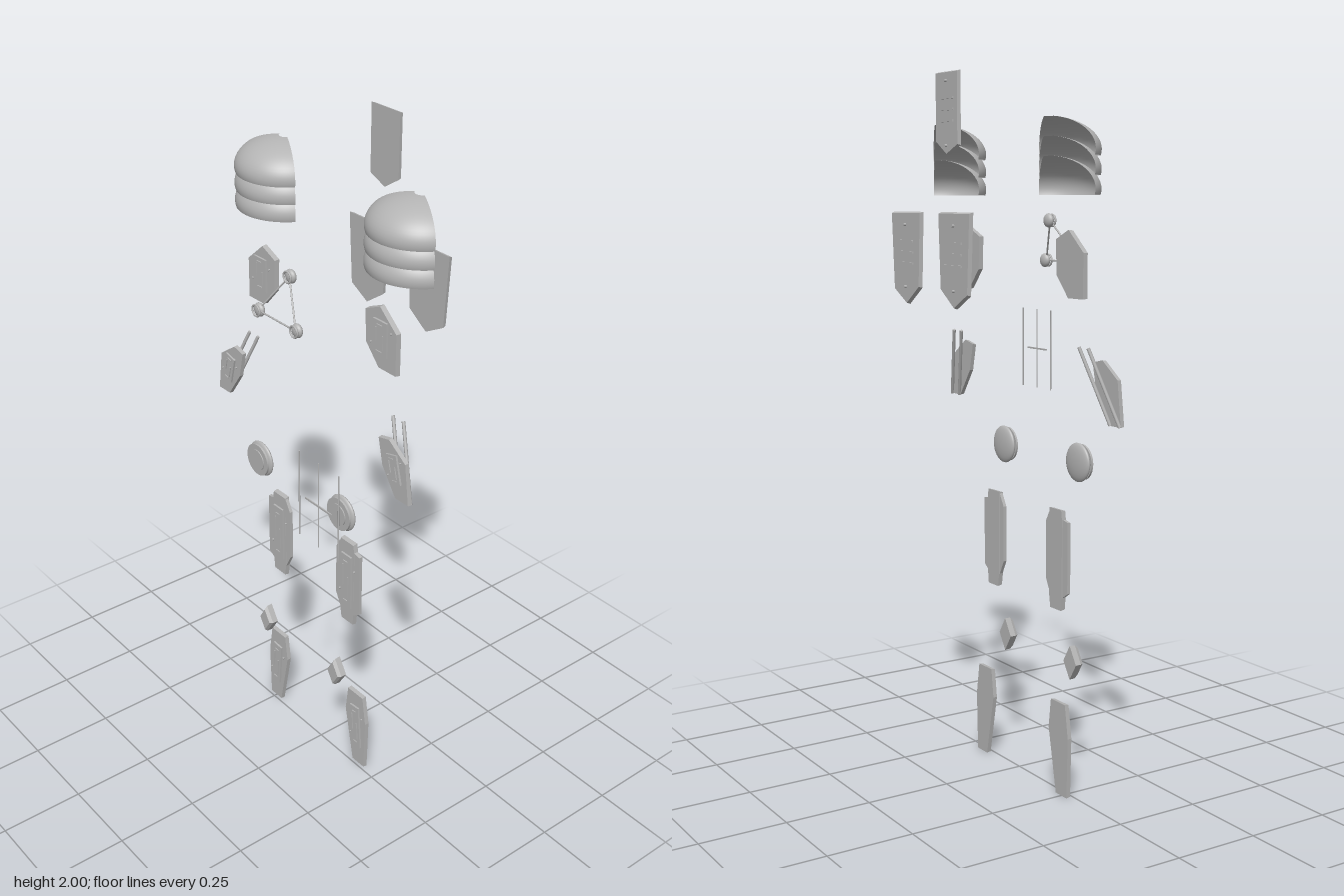
import * as THREE from 'three';

const AXIS = -0.038; // mirror line of the paired armour parts

export function createModel() {
  const root = new THREE.Group();
  const grey = new THREE.MeshStandardMaterial({ color: 0xb4b4b4, side: THREE.DoubleSide });
  grey.name = 'grey metal';

  const add = (parent, name, geo, x = 0, y = 0, z = 0) => {
    const m = new THREE.Mesh(geo, grey);
    m.name = name;
    m.position.set(x, y, z);
    parent.add(m);
    return m;
  };
  const group = (name) => {
    const g = new THREE.Group();
    g.name = name;
    root.add(g);
    return g;
  };
  const box = (p, name, x, y, z, w, h, d) => add(p, name, new THREE.BoxGeometry(w, h, d), x, y, z);

  // Flat disc facing the front
  const disc = (p, name, x, y, z, r, d, sides = 32) =>
    add(p, name, new THREE.CylinderGeometry(r, r, d, sides).rotateX(Math.PI / 2), x, y, z);

  // Bevelled plate from z0 to z1: the far face is shrunk by k about the middle
  const plate = (p, name, pts, z0, z1, k) => {
    const xs = pts.map((a) => a[0]), ys = pts.map((a) => a[1]);
    const cx = (Math.min(...xs) + Math.max(...xs)) / 2;
    const cy = (Math.min(...ys) + Math.max(...ys)) / 2;
    const shape = new THREE.Shape(pts.map(([x, y]) => new THREE.Vector2(x - cx, y - cy)));
    const d = Math.abs(z1 - z0);
    const geo = new THREE.ExtrudeGeometry(shape, { depth: d, bevelEnabled: false });
    const pos = geo.attributes.position;
    for (let i = 0; i < pos.count; i++) {
      const far = z1 < z0 ? pos.getZ(i) < d / 2 : pos.getZ(i) > d / 2;
      if (far) pos.setXY(i, pos.getX(i) * k, pos.getY(i) * k);
    }
    geo.computeVertexNormals();
    return add(p, name, geo, cx, cy, Math.min(z0, z1));
  };

  // Thin round bar between two points
  const rod = (p, name, a, b, r) => {
    const A = new THREE.Vector3(...a), B = new THREE.Vector3(...b);
    const m = add(p, name, new THREE.CylinderGeometry(r, r, A.distanceTo(B), 8));
    m.position.copy(A).lerp(B, 0.5);
    m.quaternion.setFromUnitVectors(new THREE.Vector3(0, 1, 0), B.clone().sub(A).normalize());
  };

  // Raised centre panel on a plate face at z, with short bars and bolts
  const details = (p, x, y, z, w, h, lean = 0) => {
    const g = new THREE.Group();
    g.name = 'panelDetails';
    g.position.set(x, y, z);
    g.rotation.z = lean;
    p.add(g);
    box(g, 'panel', 0, 0, 0.003, w, h, 0.006);
    for (const i of [-1, 1]) {
      box(g, 'panelStrip', i * w * 0.25, -i * h * 0.1, 0.007, 0.003, h * 0.4, 0.004);
      box(g, 'panelBar', 0, i * h * 0.38, 0.007, w * 0.4, 0.003, 0.004);
      disc(g, 'bolt', i * w * 0.72, i * h * 0.25, 0.002, 0.003, 0.006, 8);
    }
  };

  // Vents and bolts on the rear face of a back plate
  const vents = (p, x, y, z, w) => {
    for (let i = 0; i < 3; i++) box(p, 'vent', x, y - i * 0.03, z - 0.002, w, 0.006, 0.005);
    for (const dy of [0.045, -0.125]) disc(p, 'bolt', x, y + dy, z - 0.003, 0.004, 0.008, 8);
  };

  for (const s of [-1, 1]) {
    const side = s > 0 ? 'left' : 'right';
    const X = (d) => AXIS + s * d;
    const mirror = (pts) => pts.map(([d, y]) => [X(d), y]);

    // Shoulder: three stacked open dome sectors
    const shoulder = group(side + 'Shoulder');
    const a = 1.085;
    for (let i = 0; i < 3; i++) {
      const g = new THREE.SphereGeometry(1, 32, 16, Math.PI / 2 - a, 2 * a, 0.14, 1.61);
      g.scale(0.146, 0.085, 0.146);
      add(shoulder, 'shoulderShell', g, X(0.282), 1.79 - i * 0.05, -0.13);
    }

    // Back plate
    const back = group(side + 'BackPlate');
    plate(back, 'backPanel', mirror([[0.048, 1.63], [0.211, 1.63], [0.198, 1.415], [0.128, 1.377], [0.058, 1.425]]),
      -0.302, -0.313, 0.97);
    vents(back, X(0.13), 1.55, -0.313, 0.085);

    // Upper arm plate
    const arm = group(side + 'UpperArm');
    plate(arm, 'armPlate', mirror([[0.196, 1.558], [0.255, 1.584], [0.323, 1.526], [0.323, 1.404], [0.254, 1.404],
      [0.2, 1.463]]), -0.036, -0.021, 0.98);
    details(arm, X(0.262), 1.496, -0.021, 0.055, 0.1);

    // Forearm plate with two slanted rods behind it
    const fore = group(side + 'Forearm');
    plate(fore, 'forearmPlate', mirror([[0.307, 1.235], [0.35, 1.245], [0.418, 1.198], [0.434, 1.075], [0.381, 1.075],
      [0.325, 1.155]]), 0.008, 0.02, 0.98);
    details(fore, X(0.375), 1.165, 0.02, 0.042, 0.085, s * 0.25);
    rod(fore, 'forearmRod', [X(0.43), 1.075, 0.008], [X(0.345), 1.278, -0.034], 0.005);
    rod(fore, 'forearmRod', [X(0.388), 1.075, 0.008], [X(0.303), 1.278, -0.034], 0.005);

    // Hip disc with stepped front
    const hip = group(side + 'Hip');
    add(hip, 'hipDisc', new THREE.SphereGeometry(0.055, 32, 16).scale(1, 1, 0.25), X(0.19), 0.945, 0.045);
    disc(hip, 'hipRim', X(0.19), 0.945, 0.058, 0.05, 0.006);
    disc(hip, 'hipCap', X(0.19), 0.945, 0.062, 0.033, 0.004);

    // Thigh: centre column with two thinner wings
    const thigh = group(side + 'Thigh');
    plate(thigh, 'thighColumn', mirror([[0.132, 0.816], [0.19, 0.816], [0.194, 0.79], [0.194, 0.567], [0.19, 0.53],
      [0.138, 0.53], [0.132, 0.567]]), -0.011, 0.003, 0.98);
    plate(thigh, 'thighInnerWing', mirror([[0.111, 0.774], [0.133, 0.812], [0.133, 0.567], [0.111, 0.61]]),
      -0.008, 0.002, 0.99);
    plate(thigh, 'thighOuterWing', mirror([[0.193, 0.79], [0.217, 0.785], [0.217, 0.583], [0.193, 0.567]]),
      -0.008, 0.002, 0.99);
    details(thigh, X(0.163), 0.68, 0.003, 0.045, 0.18);

    // Knee diamond
    const knee = group(side + 'Knee');
    const kp = mirror([[0.17, 0.417], [0.201, 0.367], [0.17, 0.318], [0.139, 0.367]]);
    plate(knee, 'kneeBase', kp, 0.034, 0.052, 0.98);
    plate(knee, 'kneeFront', kp.map(([x, y]) => [X(0.17) + (x - X(0.17)) * 0.98, 0.367 + (y - 0.367) * 0.98]),
      0.052, 0.062, 0.8);

    // Shin plate
    const shin = group(side + 'Shin');
    plate(shin, 'shinPlate', mirror([[0.159, 0.27], [0.228, 0.27], [0.243, 0.175], [0.238, 0], [0.185, 0],
      [0.148, 0.185]]), -0.022, -0.009, 0.985);
    details(shin, X(0.2), 0.145, -0.009, 0.04, 0.15, s * 0.08);
  }

  // Upper centre back plate
  const centre = group('centreBackPlate');
  plate(centre, 'centrePanel', [[-0.095, 2], [0.021, 2], [0.021, 1.815], [-0.035, 1.78], [-0.095, 1.805]],
    -0.246, -0.256, 0.97);
  vents(centre, -0.037, 1.93, -0.256, 0.075);

  // Triangle of three nodes joined by thin rods
  const triangle = group('nodeTriangle');
  const nodes = [[AXIS, 1.605, 0.073], [-0.122, 1.49, 0.117], [0.045, 1.49, 0.117]];
  nodes.forEach((n, i) => {
    add(triangle, 'node', new THREE.SphereGeometry(0.02, 20, 14).scale(1, 1, 0.6), ...n);
    add(triangle, 'nodeRing', new THREE.TorusGeometry(0.016, 0.003, 8, 24), n[0], n[1], n[2] + 0.012);
    const m = nodes[(i + 1) % 3];
    rod(triangle, 'linkRod', [n[0], n[1], n[2] + 0.005], [m[0], m[1], m[2] + 0.005], 0.0025);
  });

  // Floating sight: three uprights and a cross bar
  const sight = group('sight');
  for (const [x, r] of [[0.312, 0.002], [0.39, 0.0015], [0.47, 0.002]]) {
    rod(sight, 'sightPost', [x, 1.07, 0.319], [x, 1.32, 0.319], r);
  }
  box(sight, 'sightBar', 0.392, 1.195, 0.321, 0.105, 0.005, 0.003);

  return root;
}
